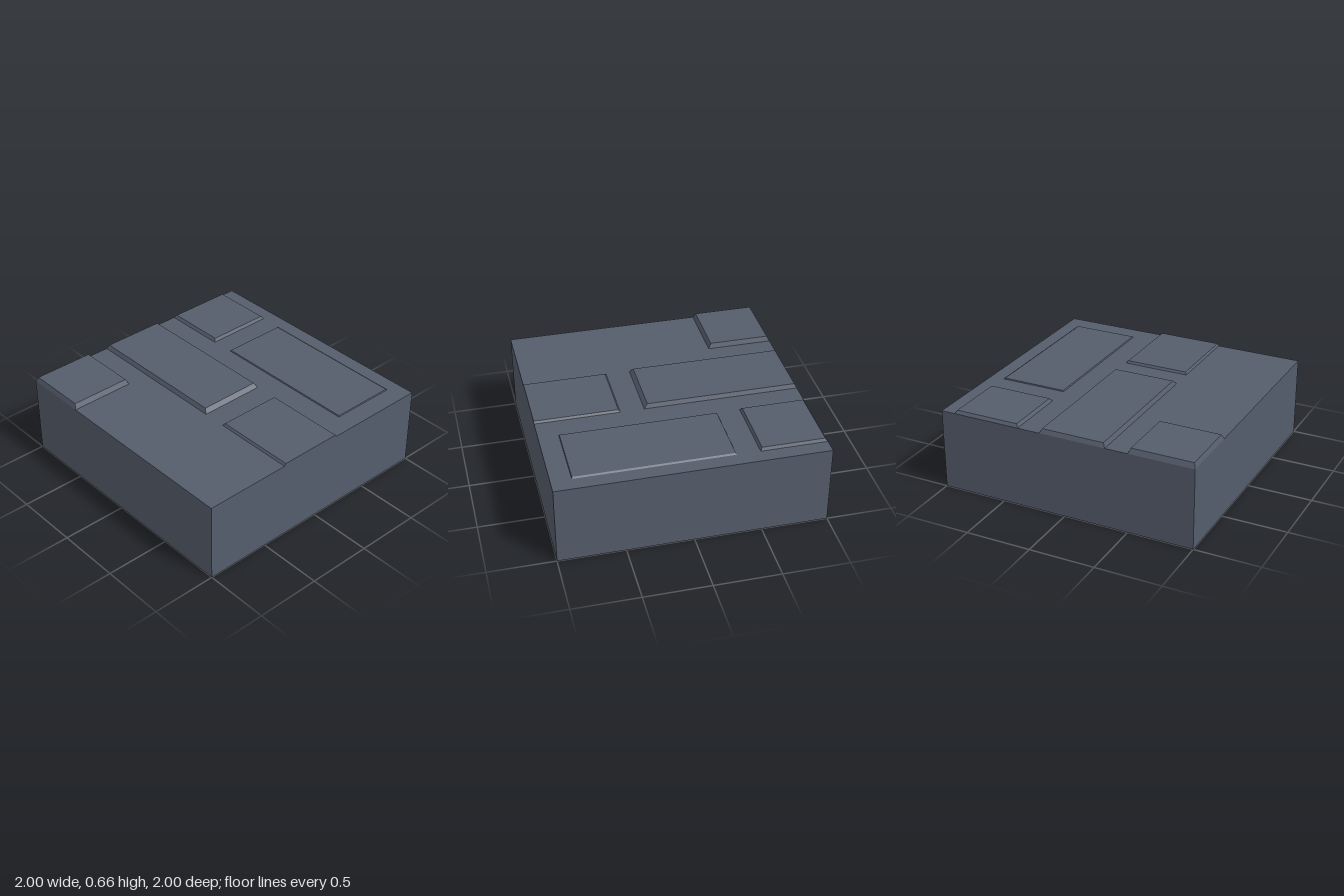
import * as THREE from 'three';

const BASE = 0.62;

// Raised panels: footprint, top height and bevel inset on each side [x0, x1, z0, z1]
const PANELS = [
  { name: 'frontLeftPanel', x0: -1, x1: -0.5, z0: 0.5, z1: 1, top: 0.658, inset: [0.02, 0.02, 0.015, 0.015] },
  { name: 'middlePanel', x0: -1, x1: 0.18, z0: -0.19, z1: 0.325, top: 0.652, inset: [0.017, 0.027, 0.015, 0.017] },
  { name: 'sidePanel', x0: 0.36, x1: 1, z0: -0.19, z1: 0.325, top: 0.637, inset: [0.013, 0, 0.012, 0.013] },
  { name: 'backLeftPanel', x0: -1, x1: -0.5, z0: -0.89, z1: -0.365, top: 0.643, inset: [0.018, 0.014, 0.013, 0.016] },
  { name: 'backLowPanel', x0: -0.325, x1: 0.85, z0: -0.89, z1: -0.37, top: 0.628, inset: [0.004, 0.004, 0.012, 0.005] },
];

// Bevelled lid made from a box without its underside
function panelGeometry({ x0, x1, z0, z1, top, inset }) {
  const g = new THREE.BoxGeometry(1, 1, 1).toNonIndexed();
  const p = g.attributes.position;
  for (let i = 0; i < p.count; i++) {
    const up = p.getY(i) > 0;
    const k = up ? 1 : 0;
    p.setXYZ(
      i,
      p.getX(i) < 0 ? x0 + k * inset[0] : x1 - k * inset[1],
      up ? top : BASE,
      p.getZ(i) < 0 ? z0 + k * inset[2] : z1 - k * inset[3]
    );
  }
  // Drop the bottom face (vertices 18 to 23)
  const kept = [...Array(36).keys()].filter((i) => i < 18 || i >= 24);
  g.setIndex(kept);
  const open = g.toNonIndexed();
  open.computeVertexNormals();
  return open;
}

// Flat top sheet with openings under the panels; shape y is -z
function deckGeometry() {
  const outline = new THREE.Shape();
  const corners = [
    [-1, -1], [1, -1], [1, -0.19], [0.36, -0.19], [0.36, 0.325], [1, 0.325],
    [1, 1], [-0.5, 1], [-0.5, 0.5], [-1, 0.5], [-1, 0.325], [0.18, 0.325],
    [0.18, -0.19], [-1, -0.19], [-1, -0.365], [-0.5, -0.365], [-0.5, -0.89], [-1, -0.89],
  ];
  outline.setFromPoints(corners.map(([x, z]) => new THREE.Vector2(x, -z)));
  const hole = new THREE.Path();
  hole.setFromPoints(
    [[-0.325, -0.89], [0.85, -0.89], [0.85, -0.37], [-0.325, -0.37]].map(([x, z]) => new THREE.Vector2(x, -z))
  );
  outline.holes.push(hole);
  return new THREE.ShapeGeometry(outline).rotateX(-Math.PI / 2).translate(0, BASE, 0);
}

export function createModel() {
  const slate = new THREE.MeshStandardMaterial({
    color: 0x555d6c, side: THREE.DoubleSide, flatShading: true,
  });
  slate.name = 'slate';

  const model = new THREE.Group();
  model.name = 'panelledBlock';
  const add = (name, geometry) => {
    const mesh = new THREE.Mesh(geometry, slate);
    mesh.name = name;
    model.add(mesh);
  };

  // Four thin walls, open underneath
  add('walls', new THREE.CylinderGeometry(Math.SQRT2, Math.SQRT2, BASE, 4, 1, true, Math.PI / 4)
    .translate(0, BASE / 2, 0));
  add('deck', deckGeometry());
  for (const panel of PANELS) add(panel.name, panelGeometry(panel));
  return model;
}
